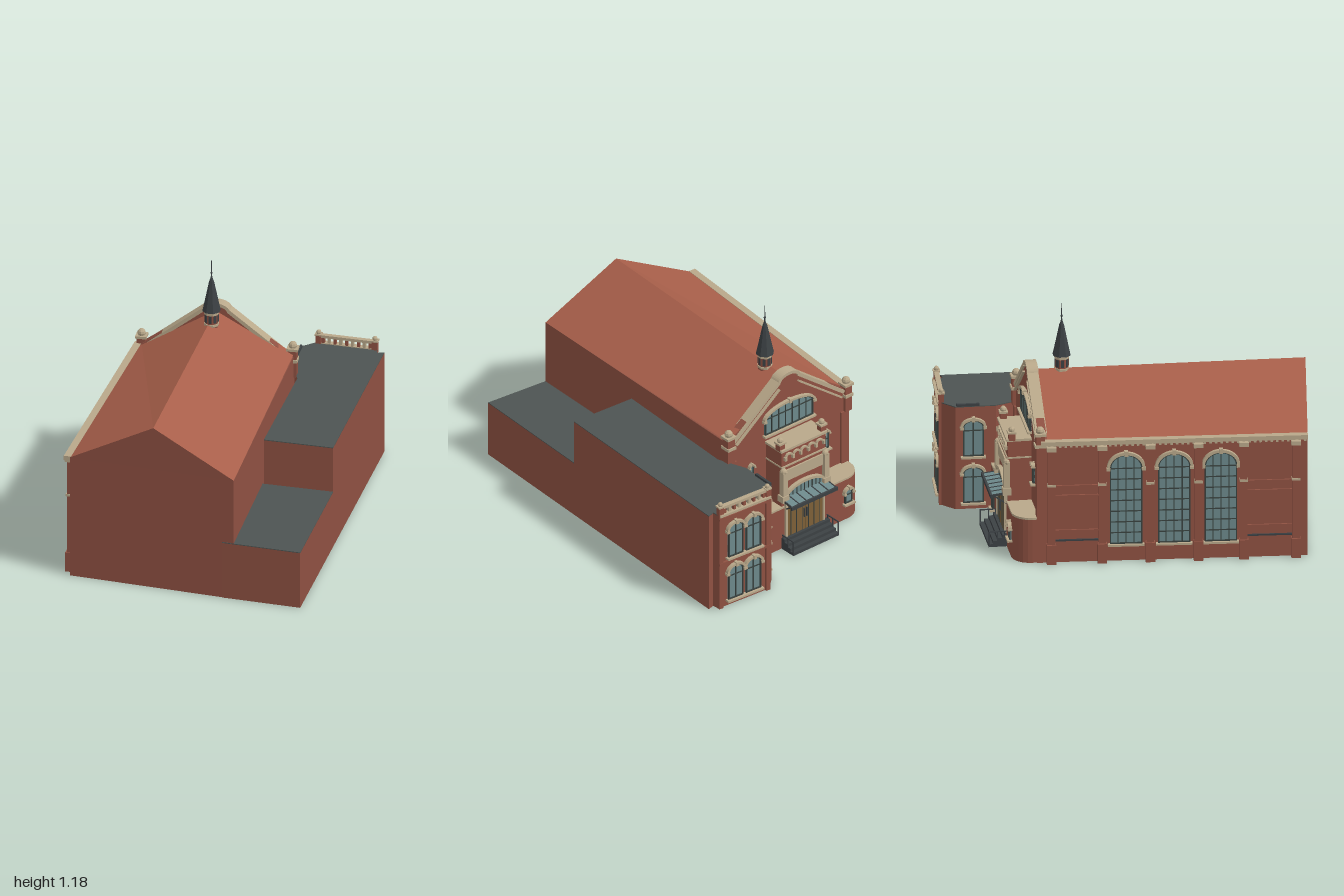
import * as THREE from 'three';

const C = { brick: 0x8f5142, roof: 0xa85f4a, slate: 0x4d5452, cream: 0xb9a88a, glass: 0x6d898b, frame: 0x39423f, wood: 0x7d6038, dark: 0x3c4144 };
const mats = {};
const mat = (c) => (mats[c] ??= new THREE.MeshStandardMaterial({ color: C[c], flatShading: true, side: THREE.DoubleSide }));

function add(g, name, color, geo) {
  const m = new THREE.Mesh(geo, mat(color));
  m.name = name;
  g.add(m);
  return m;
}
// box centred on x and z, standing on y
function box(g, name, color, w, h, d, x, y, z) {
  const m = add(g, name, color, new THREE.BoxGeometry(w, h, d));
  m.position.set(x, y + h / 2, z);
  return m;
}
// upright block over a footprint of [x, z] points
function prism(g, name, color, pts, y0, y1) {
  const s = new THREE.Shape(pts.map(([x, z]) => new THREE.Vector2(x, -z)));
  const geo = new THREE.ExtrudeGeometry(s, { depth: y1 - y0, bevelEnabled: false });
  const m = add(g, name, color, geo.rotateX(-Math.PI / 2));
  m.position.y = y0;
  return m;
}
// flat faces from corner loops
function faces(g, name, color, loops) {
  const p = [];
  for (const l of loops) for (let i = 1; i < l.length - 1; i++) p.push(...l[0], ...l[i], ...l[i + 1]);
  const geo = new THREE.BufferGeometry();
  geo.setAttribute('position', new THREE.Float32BufferAttribute(p, 3));
  geo.computeVertexNormals();
  return add(g, name, color, geo);
}
// wall frame: x runs along the wall from p0 to p1 (left to right from outside), z points outward
function wall(parent, name, p0, p1) {
  const g = new THREE.Group();
  g.name = name;
  g.position.set(p0[0], 0, p0[1]);
  g.rotation.y = Math.atan2(p0[1] - p1[1], p1[0] - p0[0]);
  parent.add(g);
  return g;
}
function archShape(w, h, rise) {
  const s = new THREE.Shape();
  s.moveTo(-w / 2, 0).lineTo(w / 2, 0).lineTo(w / 2, h - rise);
  s.absellipse(0, h - rise, w / 2, rise, 0, Math.PI);
  return s.closePath();
}
function hood(g, x, y, w, rise, t, z, d = 0.018) {
  const s = new THREE.Shape();
  s.absellipse(0, 0, w / 2 + t, rise + t, 0, Math.PI);
  s.lineTo(-w / 2, 0);
  s.absellipse(0, 0, w / 2, rise, Math.PI, 0, true);
  const geo = new THREE.ExtrudeGeometry(s, { depth: d, bevelEnabled: false, curveSegments: 10 });
  add(g, 'archMoulding', 'cream', geo).position.set(x, y, z);
}
// arched window with frame, bars, hood, keystone and sill
function archWindow(g, x, y, w, h, rise, z = 0, cols = 2, rows = [0.68], t = 0.012) {
  const win = new THREE.Group();
  win.name = 'archedWindow';
  win.position.set(x, y, z);
  g.add(win);
  const opt = (depth) => ({ depth, bevelEnabled: false, curveSegments: 10 });
  add(win, 'glass', 'glass', new THREE.ExtrudeGeometry(archShape(w, h, rise), opt(0.004)));
  const ring = archShape(w, h, rise), b = 0.006;
  ring.holes.push(new THREE.Path(archShape(w - 2 * b, h - 2 * b, rise - b / 2).getPoints(10).map((p) => p.add(new THREE.Vector2(0, b)))));
  add(win, 'windowFrame', 'frame', new THREE.ExtrudeGeometry(ring, opt(0.01)));
  for (let i = 1; i < cols; i++) {
    const bx = -w / 2 + (w * i) / cols;
    const top = h - rise + rise * Math.sqrt(1 - (2 * bx / w) ** 2);
    box(win, 'mullion', 'frame', 0.005, top, 0.008, bx, 0, 0.004);
  }
  for (const r of rows) box(win, 'transom', 'frame', w, 0.005, 0.008, 0, r * h, 0.004);
  hood(win, 0, h - rise, w, rise, t, 0);
  box(win, 'keystone', 'cream', t * 1.3, t * 1.8, 0.024, 0, h - t * 0.3, 0.012);
  for (const s of [-1, 1]) box(win, 'archStop', 'cream', t * 1.4, t, 0.022, s * (w / 2 + t / 2), h - rise - t, 0.009);
  box(win, 'sill', 'cream', w + 0.02, 0.01, 0.024, 0, -0.01, 0.01);
}
// post with cream cap and small dome
function pinnacle(g, x, y, h, w, z) {
  box(g, 'pinnaclePost', 'brick', w, h, w, x, y, z);
  box(g, 'pinnacleCap', 'cream', w * 1.3, w * 0.3, w * 1.3, x, y + h, z);
  add(g, 'pinnacleDome', 'cream', new THREE.SphereGeometry(w * 0.5, 8, 6)).position.set(x, y + h + w * 0.55, z);
}
// bar in the wall plane between two [x, y] points
function beam(g, name, a, b, t, d, z) {
  const m = add(g, name, 'cream', new THREE.BoxGeometry(Math.hypot(b[0] - a[0], b[1] - a[1]), t, d));
  m.position.set((a[0] + b[0]) / 2, (a[1] + b[1]) / 2, z);
  m.rotation.z = Math.atan2(b[1] - a[1], b[0] - a[0]);
}

function mainHall(g) {
  const A = [-0.985, -0.33], B = [0.22, -0.765], D = [-0.74, 0.455], F = [0.53, -0.09], E = 0.63, R = 0.85;
  prism(g, 'hallWalls', 'brick', [A, B, F, D], 0, E);
  const at = (p, y) => [p[0], y, p[1]];
  const r0 = [-0.862, R, 0.07], r1 = [0.375, R, -0.43];
  faces(g, 'hallRoof', 'roof', [[at(D, E), at(F, E + 0.01), r1, r0], [at(B, E), at(A, E), r0, r1]]);
  faces(g, 'backGable', 'brick', [[at(A, E), at(D, E), r0]]);
}

function spire(parent) {
  const g = new THREE.Group();
  g.name = 'spire';
  g.position.set(0.228, 0, -0.36);
  parent.add(g);
  const drum = add(g, 'spireDrum', 'brick', new THREE.CylinderGeometry(0.033, 0.033, 0.1, 8));
  drum.position.y = 0.865;
  for (const y of [0.845, 0.905]) add(g, 'spireBand', 'cream', new THREE.CylinderGeometry(0.037, 0.037, 0.012, 8)).position.y = y;
  for (let i = 0; i < 8; i++) {
    const a = (i + 0.5) * Math.PI / 4;
    const m = box(g, 'louvre', 'dark', 0.014, 0.038, 0.008, Math.sin(a) * 0.03, 0.858, Math.cos(a) * 0.03);
    m.rotation.y = a;
  }
  const prof = [[0, 0.91], [0.045, 0.915], [0.036, 0.955], [0.012, 1.07], [0.006, 1.085], [0.003, 1.1], [0.0015, 1.18], [0, 1.182]];
  add(g, 'spireCone', 'dark', new THREE.LatheGeometry(prof.map((p) => new THREE.Vector2(...p)), 8));
  add(g, 'finialBall', 'dark', new THREE.SphereGeometry(0.006, 8, 6)).position.y = 1.115;
}

function entranceFront(parent) {
  const L = 0.747, cx = 0.374;
  const g = wall(parent, 'entranceFront', [0.53, -0.09], [0.22, -0.77]);
  // gable wall with coping
  const s = new THREE.Shape([[0, 0], [L, 0], [L, 0.63], [cx + 0.065, 0.845], [cx + 0.03, 0.873], [cx - 0.03, 0.873], [cx - 0.065, 0.845], [0, 0.63]].map((p) => new THREE.Vector2(...p)));
  add(g, 'gableWall', 'brick', new THREE.ExtrudeGeometry(s, { depth: 0.04, bevelEnabled: false })).position.z = -0.035;
  for (const k of [-1, 1]) {
    beam(g, 'gableCoping', [cx + k * 0.345, 0.632], [cx + k * 0.06, 0.853], 0.018, 0.055, -0.012);
    beam(g, 'gableString', [cx + k * 0.33, 0.608], [cx + k * 0.06, 0.815], 0.008, 0.02, 0.008);
    pinnacle(g, cx + k * 0.368, 0.52, 0.14, 0.042, 0.0);
    box(g, 'cornerCorbel', 'cream', 0.05, 0.015, 0.055, cx + k * 0.368, 0.6, 0);
    box(g, 'cornerPier', 'brick', 0.045, 0.52, 0.03, cx + k * 0.35, 0, 0.0);
    archWindow(g, cx + k * 0.235, 0.36, 0.026, 0.1, 0.013, 0.006, 1, [0.5], 0.006);
  }
  hood(g, cx, 0.845, 0.11, 0.03, 0.016, -0.04, 0.055);
  archWindow(g, cx, 0.59, 0.3, 0.135, 0.05, 0.006, 7, [0.62]);
  // low porch with rounded corner
  const foot = [[0, 0], [0, 0.125], [0.65, 0.125]];
  for (let i = 1; i <= 6; i++) foot.push([0.65 + 0.09 * Math.sin(i * Math.PI / 12), 0.035 + 0.09 * Math.cos(i * Math.PI / 12)]);
  foot.push([0.74, 0]);
  prism(g, 'porch', 'brick', foot, 0, 0.222);
  prism(g, 'porchRoof', 'cream', foot, 0.222, 0.232);
  archWindow(g, 0.645, 0.095, 0.045, 0.08, 0.02, 0.126, 1, [0.55], 0.01);
  archWindow(g, 0.118, 0.035, 0.04, 0.165, 0.02, 0.126, 1, [0.35, 0.7], 0.01);
  // tall portal
  const p = new THREE.Group();
  p.name = 'portal';
  p.position.x = cx;
  g.add(p);
  box(p, 'portalBlock', 'brick', 0.275, 0.545, 0.12, 0, 0, 0.06);
  box(p, 'portalCornice', 'cream', 0.29, 0.012, 0.135, 0, 0.54, 0.06);
  box(p, 'portalBand', 'cream', 0.28, 0.008, 0.13, 0, 0.45, 0.06);
  for (let i = 0; i < 5; i++) hood(p, -0.096 + i * 0.048, 0.505, 0.03, 0.012, 0.009, 0.118, 0.012);
  for (let i = 0; i < 6; i++) box(p, 'corbel', 'cream', 0.012, 0.02, 0.02, -0.12 + i * 0.048, 0.49, 0.125);
  box(p, 'plainPanel', 'cream', 0.24, 0.06, 0.012, 0, 0.372, 0.122);
  hood(p, 0, 0.285, 0.225, 0.045, 0.014, 0.12, 0.02);
  const fan = archShape(0.225, 0.05, 0.045);
  add(p, 'fanlight', 'glass', new THREE.ExtrudeGeometry(fan, { depth: 0.006, bevelEnabled: false })).position.set(0, 0.28, 0.12);
  for (let i = -4; i <= 4; i++) box(p, 'fanlightBar', 'frame', 0.004, 0.046 - Math.abs(i) * 0.004, 0.01, i * 0.024, 0.28, 0.124);
  for (const k of [-1, 1]) {
    box(p, 'portalColumn', 'cream', 0.028, 0.15, 0.03, k * 0.13, 0.28, 0.125);
    box(p, 'columnBase', 'cream', 0.04, 0.035, 0.04, k * 0.13, 0.265, 0.125);
    add(p, 'columnTop', 'cream', new THREE.SphereGeometry(0.018, 8, 6)).position.set(k * 0.13, 0.432, 0.125);
    pinnacle(p, k * 0.13, 0.545, 0.035, 0.032, 0.1);
    // double doors
    box(p, 'doorLeaf', 'wood', 0.108, 0.205, 0.014, k * 0.055, 0.06, 0.125);
    for (const o of [0.02, 0.055, 0.09]) box(p, 'doorRib', 'frame', 0.003, 0.2, 0.018, k * o, 0.06, 0.125);
    box(p, 'doorHandle', 'dark', 0.005, 0.05, 0.024, k * 0.008, 0.13, 0.127);
    box(p, 'doorJamb', 'cream', 0.012, 0.205, 0.02, k * 0.117, 0.06, 0.125);
    // step rails
    box(p, 'stepRail', 'dark', 0.005, 0.005, 0.085, k * 0.14, 0.075, 0.17);
    for (const z of [0.135, 0.17, 0.21]) box(p, 'railPost', 'dark', 0.005, 0.077, 0.005, k * 0.14, 0, z);
    const bar = box(p, 'canopyBracket', 'dark', 0.006, 0.006, 0.1, k * 0.12, 0.235, 0.16);
    bar.rotation.x = -0.6;
  }
  // glass canopy
  const cano = box(p, 'canopyGlass', 'glass', 0.28, 0.006, 0.08, 0, 0.265, 0.16);
  cano.rotation.x = 0.12;
  box(p, 'canopyEdge', 'dark', 0.29, 0.018, 0.01, 0, 0.252, 0.2);
  for (let i = 0; i < 7; i++) box(p, 'canopyRib', 'dark', 0.005, 0.01, 0.08, -0.138 + i * 0.046, 0.264, 0.16).rotation.x = 0.12;
  for (let i = 0; i < 4; i++) box(p, 'step', 'dark', 0.285, 0.015 * (4 - i), 0.022, 0, 0, 0.136 + i * 0.022);
}

function sideWindowsWall(parent) {
  const L = 1.281, g = wall(parent, 'windowedSide', [0.22, -0.765], [-0.985, -0.33]);
  const f = [0.04, 0.23, 0.41, 0.59, 0.76, 0.955];
  for (const t of f) {
    box(g, 'buttress', 'brick', 0.036, 0.6, 0.03, t * L, 0, 0.012);
    box(g, 'buttressFoot', 'brick', 0.045, 0.1, 0.04, t * L, 0, 0.015);
    box(g, 'buttressCap', 'cream', 0.046, 0.02, 0.045, t * L, 0.585, 0.016);
    box(g, 'buttressBand', 'cream', 0.04, 0.012, 0.036, t * L, 0.4, 0.014);
  }
  for (let i = 0; i < 5; i++) {
    const x = (f[i] + f[i + 1]) / 2 * L, w = (f[i + 1] - f[i]) * L - 0.036;
    if (i > 0 && i < 4) archWindow(g, x, 0.09, 0.155, 0.46, 0.065, 0.002, 4, [0.12, 0.24, 0.36, 0.48, 0.6, 0.72, 0.84], 0.014);
    else for (const y of [0.11, 0.16, 0.34, 0.39]) box(g, 'brickCourse', y % 0.1 < 0.03 ? 'dark' : 'brick', w, 0.008, 0.012, x, y, 0.002);
  }
  box(g, 'eavesCornice', 'cream', L, 0.022, 0.035, L / 2, 0.612, 0.014);
  for (let i = 0; i < 48; i++) box(g, 'eavesDentil', 'cream', 0.012, 0.014, 0.02, (i + 0.5) * L / 48, 0.598, 0.008);
}

function sideWing(parent) {
  const low = [[-0.76, 0.4], [-0.635, 0.77], [-0.01, 0.52], [-0.15, 0.15]];
  const high = [[-0.13, 0.2], [-0.01, 0.52], [0.968, 0.128], [0.945, 0.1], [0.975, 0.083], [0.87, -0.2], [0.79, -0.235], [0.61, -0.16], [0.5, -0.05]];
  for (const [n, pts, h] of [['lowWing', low, 0.295], ['tallWing', high, 0.53]]) {
    prism(parent, n, 'brick', pts, 0, h - 0.004);
    prism(parent, n + 'Roof', 'slate', pts, h - 0.004, h);
  }
  // street front with four windows and balustrade
  const g = wall(parent, 'wingFront', high[4], high[5]), L = 0.302;
  for (const x of [0.098, 0.202]) for (const y of [0.035, 0.275]) archWindow(g, x, y, 0.088, 0.185, 0.032, 0.002, 2, [0.7]);
  for (const y of [0.245, 0.5]) box(g, 'stringCourse', 'brick', L, 0.012, 0.02, L / 2, y, 0.002);
  box(g, 'wingCornice', 'cream', L, 0.012, 0.03, L / 2, 0.522, 0.005);
  box(g, 'balustradeRail', 'cream', L, 0.014, 0.024, L / 2, 0.562, 0);
  for (let i = 0; i < 9; i++) box(g, 'baluster', i % 2 ? 'cream' : 'brick', 0.014, 0.03, 0.016, 0.035 + i * 0.029, 0.533, 0);
  for (const x of [0.012, L - 0.012]) {
    pinnacle(g, x, 0.51, 0.062, 0.026, 0);
    box(g, 'wingPier', 'brick', 0.024, 0.52, 0.015, x, 0, 0.003);
  }
  // return wall beside the entrance
  const r = wall(parent, 'wingReturn', high[6], high[7]);
  for (const y of [0.035, 0.275]) archWindow(r, 0.085, y, 0.1, 0.185, 0.032, 0.002, 2, [0.7]);
  box(r, 'returnCoping', 'dark', 0.11, 0.012, 0.012, 0.06, 0.53, -0.004);
}

export function createModel() {
  const model = new THREE.Group();
  model.name = 'hall';
  mainHall(model);
  spire(model);
  entranceFront(model);
  sideWindowsWall(model);
  sideWing(model);
  return model;
}
